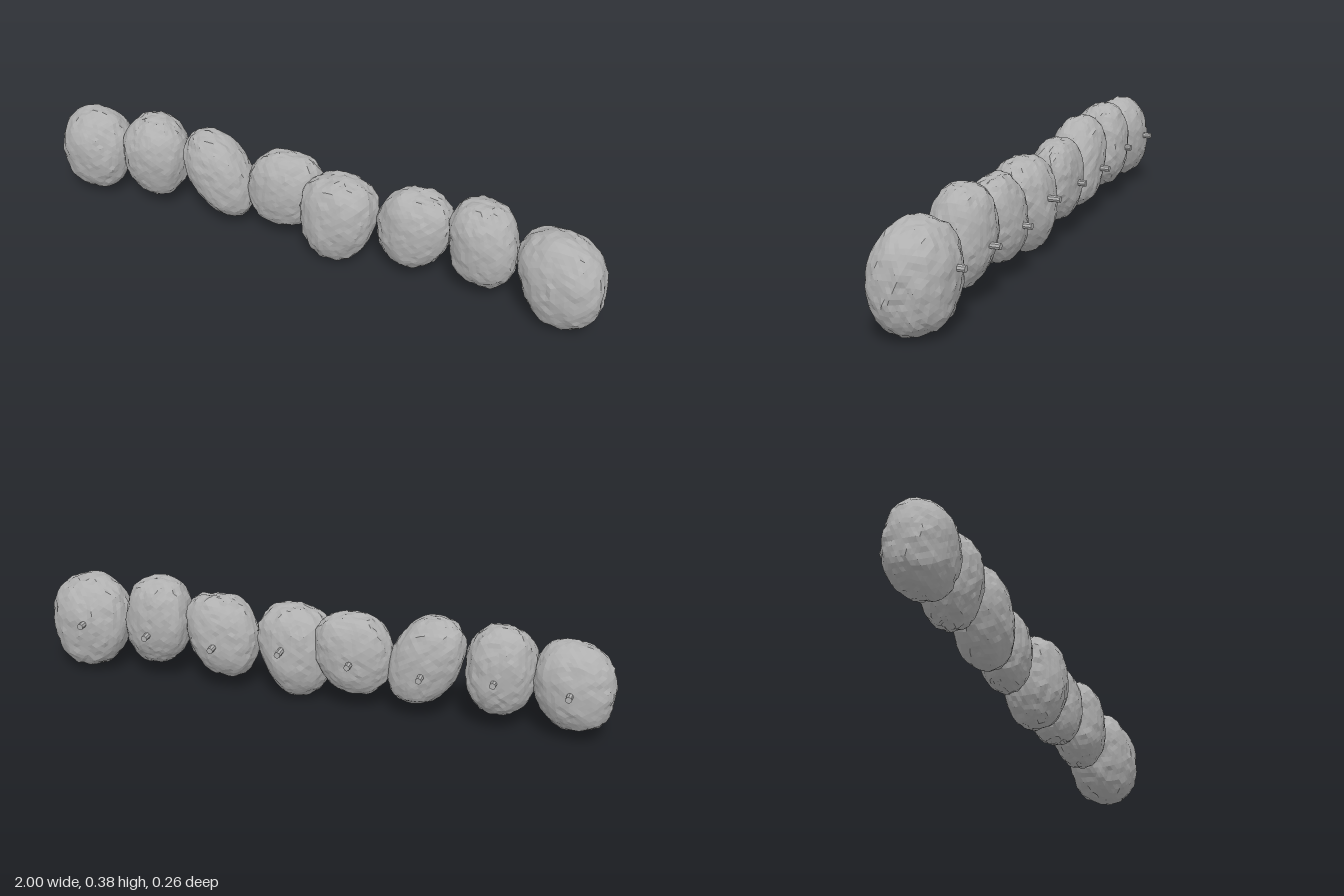
import * as THREE from 'three';

// Each stone: box limits, lean of x with height, taper with height, twist of x with depth
const STONES = [
  { x: [-1.0, -0.73], y: [0.03, 0.345], z: [-0.105, 0.10], lean: 0.08, taper: 0.04, twist: 0.05 },
  { x: [-0.745, -0.51], y: [0.05, 0.37], z: [-0.115, 0.085], lean: 0.02, taper: 0.04, twist: -0.05 },
  { x: [-0.51, -0.25], y: [0.05, 0.372], z: [-0.105, 0.085], lean: -0.32, taper: 0.02, twist: 0.04 },
  { x: [-0.268, 0.0], y: [0.06, 0.35], z: [-0.11, 0.06], lean: 0.08, taper: 0.02, twist: -0.08 },
  { x: [-0.055, 0.215], y: [0.005, 0.34], z: [-0.10, 0.115], lean: 0.06, taper: 0.15, twist: 0.0 },
  { x: [0.21, 0.475], y: [0.05, 0.347], z: [-0.105, 0.08], lean: 0.12, taper: 0.05, twist: 0.0 },
  { x: [0.462, 0.70], y: [0.055, 0.377], z: [-0.105, 0.095], lean: -0.10, taper: 0.0, twist: 0.05 },
  { x: [0.695, 1.0], y: [0.0, 0.347], z: [-0.11, 0.132], lean: -0.06, taper: 0.08, twist: 0.16 },
];

// Repeatable value noise on a lattice
function hash(i, j, k) {
  const s = Math.sin(i * 127.1 + j * 311.7 + k * 74.7) * 43758.5453;
  return s - Math.floor(s);
}
function noise(x, y, z) {
  const i = Math.floor(x), j = Math.floor(y), k = Math.floor(z);
  const smooth = (t) => t * t * (3 - 2 * t);
  const u = smooth(x - i), v = smooth(y - j), w = smooth(z - k);
  const mix = THREE.MathUtils.lerp;
  const row = (b, c) => mix(hash(i, b, c), hash(i + 1, b, c), u);
  return mix(mix(row(j, k), row(j + 1, k), v), mix(row(j, k + 1), row(j + 1, k + 1), v), w) - 0.5;
}

// Rough boulder, fitted to its box
function stoneGeometry(stone, seed) {
  const geometry = new THREE.IcosahedronGeometry(1, 9);
  const pos = geometry.attributes.position;
  const p = new THREE.Vector3();
  for (let n = 0; n < pos.count; n++) {
    p.fromBufferAttribute(pos, n).normalize();
    // round to the same value at shared corners so the surface stays closed
    p.set(...p.toArray().map((c) => Math.round(c * 1e4) / 1e4));
    const q = 2.25;
    const swell = Math.pow(Math.abs(p.x) ** q + Math.abs(p.y) ** q + Math.abs(p.z) ** q, -1 / q);
    const o = seed * 17.3 + 40;
    const broad = noise(p.x * 1.6 + o, p.y * 1.6 + o, p.z * 1.6 + o) * 0.1;
    const chips = noise(p.x * 7 + o, p.y * 7 + o, p.z * 7 + o) * 0.075;
    p.multiplyScalar(swell * (1 + broad + chips));
    p.x = p.x * (1 + stone.taper * p.y) + stone.lean * p.y + stone.twist * p.z;
    pos.setXYZ(n, p.x, p.y, p.z);
  }
  geometry.computeBoundingBox();
  const { min, max } = geometry.boundingBox;
  const fit = (value, axis) => THREE.MathUtils.mapLinear(value, min[axis], max[axis], ...stone[axis]);
  for (let n = 0; n < pos.count; n++) {
    pos.setXYZ(n, fit(pos.getX(n), 'x'), fit(pos.getY(n), 'y'), fit(pos.getZ(n), 'z'));
  }
  geometry.computeVertexNormals();
  geometry.computeBoundingBox();
  geometry.computeBoundingSphere();
  return geometry;
}

export function createModel() {
  const group = new THREE.Group();
  group.name = 'stoneRow';
  const grey = new THREE.MeshStandardMaterial({ color: 0xb0b0b0, flatShading: true });
  grey.name = 'stone grey';

  // Short mounting pegs sticking out of the back
  const pegGeometry = new THREE.CylinderGeometry(0.011, 0.011, 0.09, 8);
  pegGeometry.rotateX(Math.PI / 2);

  STONES.forEach((stone, n) => {
    const rock = new THREE.Mesh(stoneGeometry(stone, n + 1), grey);
    rock.name = 'stone' + (n + 1);
    group.add(rock);

    const peg = new THREE.Mesh(pegGeometry, grey);
    peg.name = 'backPeg' + (n + 1);
    peg.position.set(-0.862 + n * 0.241, 0.197 + [0, 0.01, -0.01][n % 3], -0.088);
    group.add(peg);
  });
  return group;
}
